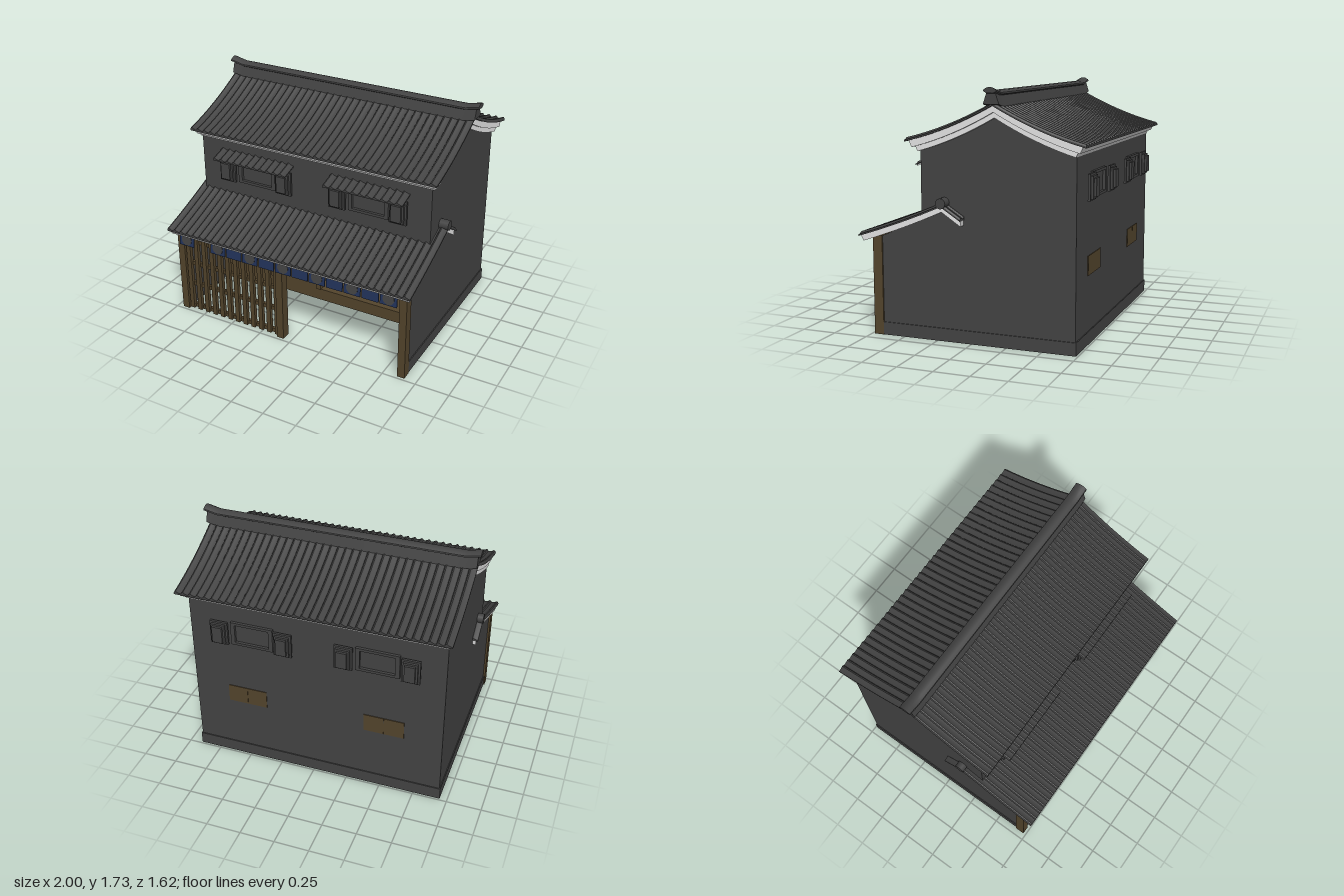
import * as THREE from 'three';
import { toCreasedNormals } from 'three/addons/utils/BufferGeometryUtils.js';

export function createModel() {
  const model = new THREE.Group();
  model.name = 'townhouse';
  const mat = (name, color) => {
    const m = new THREE.MeshStandardMaterial({ color });
    m.name = name;
    return m;
  };
  const wallGrey = mat('wall grey', 0x444444);
  const tileGrey = mat('tile grey', 0x424242);
  const plaster = mat('white plaster', 0xe8e8e8);
  const wood = mat('brown wood', 0x54452c);
  const indigo = mat('indigo cloth', 0x22335c);

  const add = (name, geo, m, parent = model) => {
    const mesh = new THREE.Mesh(geo, m);
    mesh.name = name;
    parent.add(mesh);
    return mesh;
  };
  // box given by its limits
  const box = (name, m, x0, x1, y0, y1, z0, z1, parent) => {
    const mesh = add(name, new THREE.BoxGeometry(x1 - x0, y1 - y0, z1 - z0), m, parent);
    mesh.position.set((x0 + x1) / 2, (y0 + y1) / 2, (z0 + z1) / 2);
    return mesh;
  };
  // [z, y] profile extruded along x
  const alongX = (pts, x0, x1, steps = 1) => {
    const shape = new THREE.Shape(pts.map(p => new THREE.Vector2(p[0], p[1])));
    const g = new THREE.ExtrudeGeometry(shape, { depth: x1 - x0, steps, bevelEnabled: false });
    return g.rotateY(-Math.PI / 2).translate(x1, 0, 0);
  };
  // wavy tile slope: starts at z = 0 and falls by drop(z) over the given length
  const tileSlope = (width, length, count, drop, thick = 0.012) => {
    const wave = [[0, 0], [0.12, 0.012], [0.28, 0.014], [0.5, 0.006], [0.8, 0]];
    const s = new THREE.Shape();
    const pitch = width / count;
    s.moveTo(-width / 2, -thick);
    s.lineTo(width / 2, -thick);
    s.lineTo(width / 2, 0);
    for (let i = count - 1; i >= 0; i--)
      for (let k = wave.length - 1; k >= 0; k--)
        s.lineTo(-width / 2 + (i + wave[k][0]) * pitch, wave[k][1]);
    const g = new THREE.ExtrudeGeometry(s, { depth: length, steps: 8, bevelEnabled: false });
    const p = g.attributes.position;
    for (let i = 0; i < p.count; i++) p.setY(i, p.getY(i) - drop(p.getZ(i)));
    return toCreasedNormals(g, 0.5);
  };
  // band below a roof curve, from distance d0 to d1 in front of (or behind) the ridge
  const band = (zRidge, yRidge, drop, back, front, top, bottom) => {
    const up = [], low = [];
    for (let i = 0; i <= 16; i++) {
      const d = i < 8 ? -back * (1 - i / 8) : front * (i - 8) / 8;
      const y = yRidge - drop(d);
      up.push([zRidge + d, y - top]);
      low.push([zRidge + d * 0.965, y - bottom]);
    }
    return [...low, ...up.reverse()];
  };

  // gabled side walls
  const gable = [[0.66, 0], [0.66, 0.7], [0.36, 0.83], [0.36, 1.3], [0.1, 1.4],
    [-0.18, 1.54], [-0.46, 1.4], [-0.73, 1.3], [-0.73, 0]];
  add('leftWall', alongX(gable.slice().reverse(), 0.87, 0.9), wallGrey);
  add('rightWall', alongX(gable.slice().reverse(), -0.94, -0.91), wallGrey);
  box('backWall', wallGrey, -0.93, 0.89, 0, 1.32, -0.73, -0.7);
  box('upperFrontWall', wallGrey, -0.93, 0.89, 0.8, 1.32, 0.33, 0.36);
  box('ceiling', wallGrey, -0.91, 0.87, 0.8, 0.82, -0.7, 0.36);

  // plinth on three sides
  box('leftPlinth', wallGrey, 0.87, 0.907, 0, 0.09, -0.737, 0.66);
  box('rightPlinth', wallGrey, -0.947, -0.91, 0, 0.09, -0.737, 0.66);
  box('backPlinth', wallGrey, -0.947, 0.907, 0, 0.09, -0.737, -0.7);

  // raised floor and inner partition
  box('raisedFloor', wood, -0.91, 0.87, 0.015, 0.11, -0.7, 0.17);
  box('innerPartition', wood, -0.91, -0.06, 0.11, 0.8, 0.14, 0.17);
  for (const x of [-0.91, -0.5, -0.1])
    box('partitionStile', wood, x, x + 0.04, 0.11, 0.8, 0.17, 0.18);

  // front posts, beam and lattice
  for (const [x0, x1] of [[-0.955, -0.9], [-0.115, -0.06], [0.855, 0.91]])
    box('frontPost', wood, x0, x1, 0, 0.7, 0.66, 0.73);
  box('frontBeam', wood, -0.9, 0.855, 0.62, 0.7, 0.67, 0.71);
  for (let i = 0; i < 12; i++) {
    const x = -0.875 + i * 0.0685;
    box('latticeBar', wood, x - 0.017, x + 0.017, 0.01, 0.63, 0.69, 0.72);
  }
  for (const y of [0.025, 0.22, 0.4, 0.59])
    box('latticeRail', wood, -0.9, -0.115, y - 0.015, y + 0.015, 0.675, 0.7);

  // upper roof
  const cx = -0.0075, W = 1.945;
  const mainDrop = d => 0.55 * Math.abs(d) - 0.243 * d * d;
  const mainTiles = tileSlope(W, 0.63, 36, mainDrop);
  add('upperRoofFront', mainTiles, tileGrey).position.set(cx, 1.62, -0.18);
  const rear = add('upperRoofBack', mainTiles, tileGrey);
  rear.position.set(cx, 1.62, -0.18);
  rear.rotation.y = Math.PI;
  add('upperEaveOuter', alongX(band(-0.18, 1.62, mainDrop, 0.605, 0.605, 0.011, 0.055), -0.96, 0.945), plaster);
  add('upperEaveInner', alongX(band(-0.18, 1.62, mainDrop, 0.57, 0.57, 0.05, 0.092), -0.95, 0.925), plaster);

  // ridge with upturned ends
  const lift = g => {
    const p = g.attributes.position;
    for (let i = 0; i < p.count; i++)
      p.setY(i, p.getY(i) + Math.max(0, Math.abs(p.getX(i)) - 0.9) * 0.22);
    return toCreasedNormals(g, 0.6);
  };
  const ridgeBase = [[-0.235, 1.6], [-0.125, 1.6], [-0.15, 1.675], [-0.21, 1.675]];
  add('ridgeBase', lift(alongX(ridgeBase.map(p => [p[0], p[1]]), -0.98, 0.98, 40)), tileGrey);
  const cap = [[-0.205, 1.668], [-0.155, 1.668], [-0.135, 1.68], [-0.138, 1.69],
    [-0.16, 1.703], [-0.18, 1.707], [-0.2, 1.703], [-0.222, 1.69], [-0.225, 1.68]];
  add('ridgeCap', lift(alongX(cap, -1, 1, 40)), tileGrey);

  // lower roof, with its short rear slope
  const lowDrop = d => (d < 0 ? -0.64 * d : 0.44 * d - 0.098 * d * d);
  add('lowerRoofFront', tileSlope(W, 0.62, 36, lowDrop), tileGrey).position.set(cx, 0.945, 0.19);
  const lowRear = add('lowerRoofBack', tileSlope(W, 0.14, 36, d => 0.64 * d), tileGrey);
  lowRear.position.set(cx, 0.945, 0.19);
  lowRear.rotation.y = Math.PI;
  add('lowerEave', alongX(band(0.19, 0.945, lowDrop, 0.14, 0.61, 0.011, 0.048), -0.965, 0.95), plaster);
  const rod = add('lowerRidge', new THREE.CylinderGeometry(0.036, 0.036, W + 0.01, 16), tileGrey);
  rod.rotation.z = Math.PI / 2;
  rod.position.set(cx, 0.955, 0.19);

  // shop curtain: cloth squares with round patches on every other one
  for (let i = 0; i < 13; i++) {
    if (i === 1) continue;
    const cloth = new THREE.Group();
    cloth.name = 'curtainPiece';
    cloth.position.set(-0.85 + i * 0.1365, 0.63, 0.755);
    cloth.rotation.x = -0.08;
    model.add(cloth);
    box('curtainCloth', indigo, -0.063, 0.063, -0.05, 0.05, -0.004, 0.004, cloth);
    if (i % 2 === 0) {
      const disc = add('curtainPatch', new THREE.CylinderGeometry(0.043, 0.043, 0.004, 20), wallGrey, cloth);
      disc.rotation.x = Math.PI / 2;
      disc.position.z = 0.006;
    }
  }

  // shuttered upper windows; the front pair also has little tiled roofs
  const windowUnit = (x, z, turn, hooded) => {
    const g = new THREE.Group();
    g.name = 'upperWindow';
    g.position.set(x, 1.08, z);
    g.rotation.y = turn;
    model.add(g);
    for (const s of [-1, 1]) {
      for (let k = 0; k < 3; k++) {
        const w = 0.065 - k * 0.014, h = 0.09 - k * 0.014, c = s * 0.235;
        box('shutterStep', wallGrey, c - w, c + w, -h, h, 0.023 + k * 0.017, 0.04 + k * 0.017, g);
      }
      box('windowJamb', wallGrey, s * 0.14 - 0.015, s * 0.14 + 0.015, -0.09, 0.09, 0, 0.02, g);
      box('windowRail', wallGrey, -0.15, 0.15, s * 0.08 - 0.01, s * 0.08 + 0.01, 0, 0.02, g);
    }
    if (!hooded) return;
    const hood = add('windowHood', tileSlope(0.61, 0.12, 11, d => 0.28 * d, 0.008), tileGrey, g);
    hood.position.set(0, 0.138, 0);
    const under = box('hoodBoard', plaster, -0.3, 0.3, -0.004, 0.004, 0, 0.115, g);
    under.position.y = 0.11;
    under.rotation.x = 0.273;
  };
  for (const x of [-0.47, 0.435]) {
    windowUnit(x, 0.36, 0, true);
    windowUnit(x, -0.73, Math.PI, false);
  }

  // ground floor back windows, two panels each
  for (const x of [-0.52, 0.5])
    for (const s of [-1, 1])
      box('backWindow', wood, x + s * 0.0735 - 0.0725, x + s * 0.0735 + 0.0725, 0.475, 0.61, -0.735, -0.695);

  return model;
}
